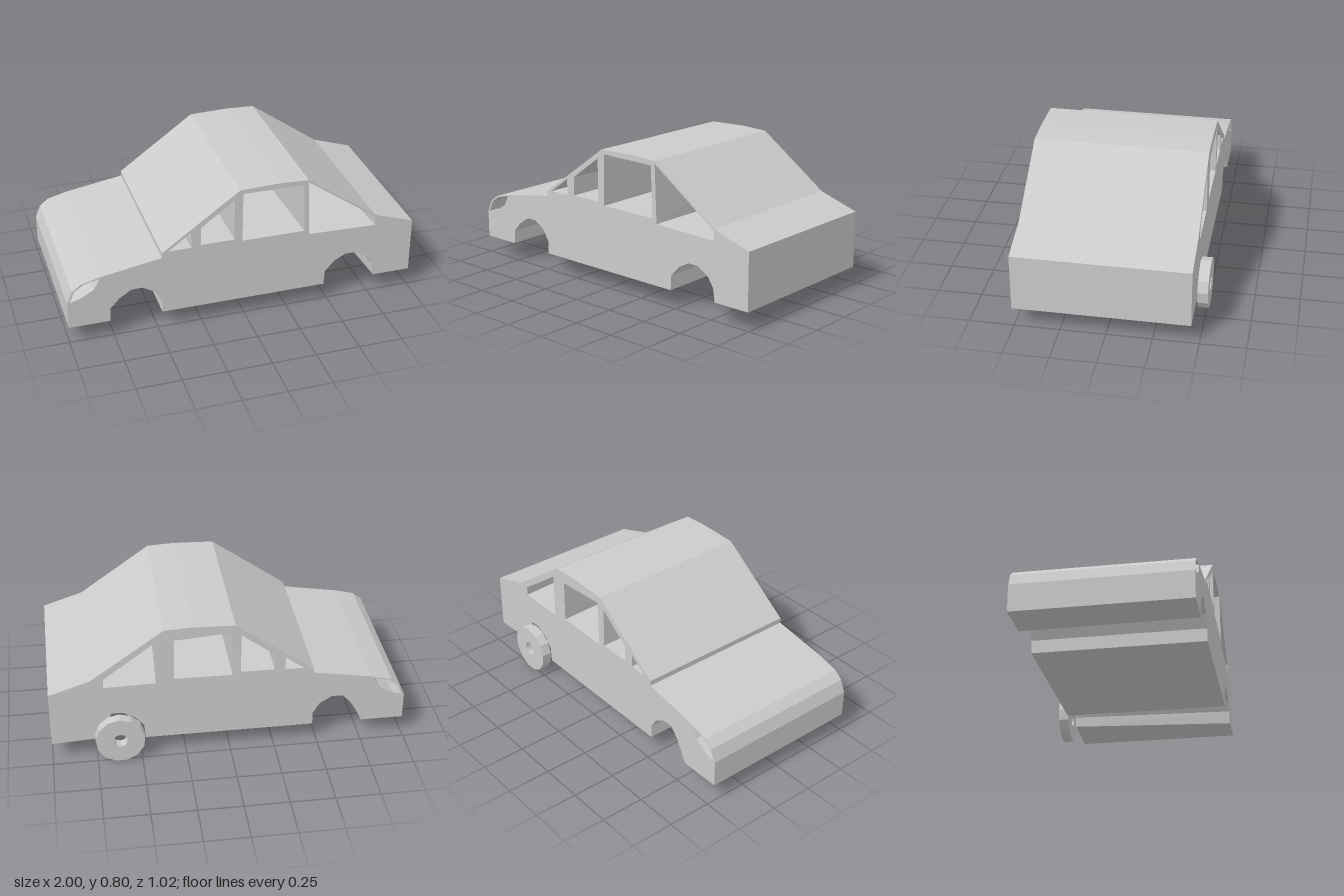
import * as THREE from 'three';

const FRONT = 0.51, BACK = -0.455;
const material = new THREE.MeshStandardMaterial({ color: 0xcccccc, flatShading: true, side: THREE.DoubleSide });

// Points are [x, y] or [x, y, backX, backY] where an opening narrows toward the back side
const outline = [
  [-1, 0.105], [-0.77, 0.105, -0.76, 0.105], [-0.765, 0.185, -0.72, 0.185], [-0.715, 0.24, -0.69, 0.235],
  [-0.645, 0.285], [-0.58, 0.285], [-0.515, 0.245], [-0.475, 0.18], [-0.475, 0.105],
  [0.475, 0.105], [0.48, 0.19], [0.535, 0.25], [0.6, 0.285], [0.66, 0.285],
  [0.735, 0.24, 0.69, 0.235], [0.77, 0.185, 0.715, 0.185], [0.78, 0.11, 0.72, 0.125], [1, 0.11],
  [1, 0.435], [0.77, 0.51], [0.36, 0.8], [0.2, 0.807], [-0.03, 0.8],
  [-0.47, 0.485], [-0.47, 0.455], [-0.8, 0.4], [-0.92, 0.37], [-0.97, 0.33], [-1, 0.26],
];

const openings = [
  // front quarter window
  [[-0.435, 0.49, -0.415, 0.493], [-0.305, 0.49, -0.31, 0.493], [-0.305, 0.585, -0.31, 0.57]],
  // front door window
  [[-0.25, 0.498], [-0.06, 0.498], [-0.06, 0.745, -0.063, 0.735], [-0.25, 0.605, -0.25, 0.595]],
  // rear door window
  [[-0.015, 0.482], [0.345, 0.482, 0.31, 0.485], [0.335, 0.772, 0.305, 0.755], [-0.012, 0.776, -0.01, 0.755]],
  // rear quarter window
  [[0.375, 0.455, 0.41, 0.465], [0.772, 0.445, 0.7, 0.46], [0.768, 0.5, 0.695, 0.515], [0.362, 0.785, 0.41, 0.725]],
  // headlight
  [[-0.985, 0.265], [-0.93, 0.28], [-0.85, 0.325], [-0.815, 0.388], [-0.9, 0.368], [-0.958, 0.33]],
];

const toPoints = list => list.map(([x, y]) => new THREE.Vector2(x, y));

// Extrude the side profile, then shift the back rim of narrowing openings
function bodyGeometry() {
  const shape = new THREE.Shape(toPoints(outline));
  shape.holes = openings.map(o => new THREE.Path(toPoints(o)));
  const geometry = new THREE.ExtrudeGeometry(shape, { depth: FRONT - BACK, bevelEnabled: false });
  geometry.translate(0, 0, BACK);
  const narrowed = [outline, ...openings].flat().filter(p => p.length === 4);
  const pos = geometry.attributes.position;
  for (let i = 0; i < pos.count; i++) {
    if (pos.getZ(i) > 0) continue;
    const match = narrowed.find(p => Math.hypot(p[0] - pos.getX(i), p[1] - pos.getY(i)) < 1e-4);
    if (match) pos.setXY(i, match[2], match[3]);
  }
  geometry.computeVertexNormals();
  return geometry;
}

function ring(radius, sides, turn = 0) {
  return Array.from({ length: sides }, (_, i) => {
    const a = (i + turn) / sides * Math.PI * 2;
    return new THREE.Vector2(Math.cos(a) * radius, Math.sin(a) * radius);
  });
}

export function createModel() {
  const model = new THREE.Group();
  model.name = 'car';

  const body = new THREE.Mesh(bodyGeometry(), material);
  body.name = 'body';
  model.add(body);

  // Single rear wheel on the back side, with an axle hole
  const tyre = new THREE.Shape(ring(0.139, 13, 0.25));
  tyre.holes.push(new THREE.Path(ring(0.04, 12)));
  const wheel = new THREE.Mesh(
    new THREE.ExtrudeGeometry(tyre, { depth: 0.058, bevelEnabled: false }), material);
  wheel.name = 'rearWheel';
  wheel.position.set(0.62, 0.137, -0.513);
  model.add(wheel);

  return model;
}
